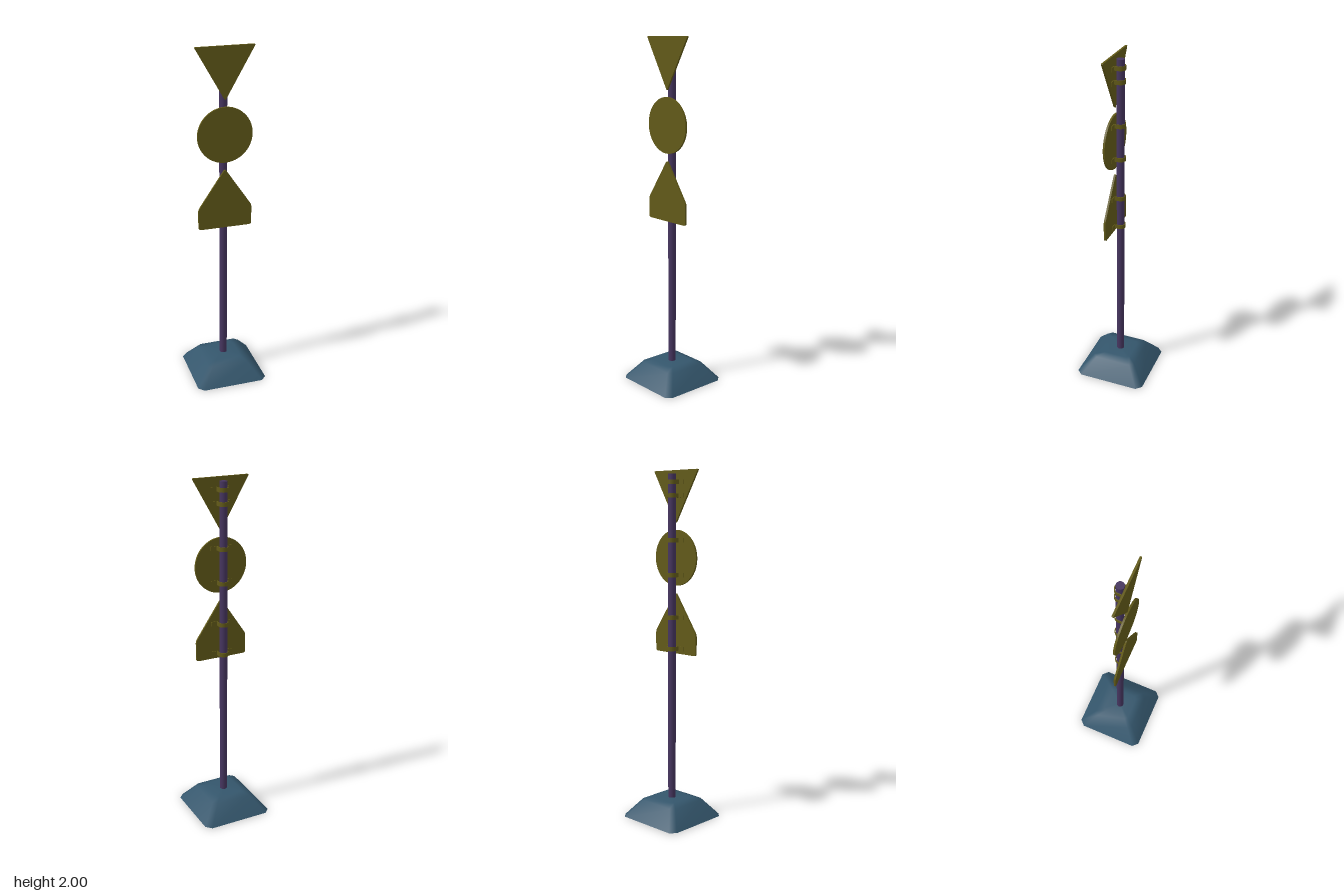
import * as THREE from 'three';

const mat = (color, extra = {}) => new THREE.MeshStandardMaterial({ color, ...extra });

function addMesh(parent, name, geometry, material) {
  const mesh = new THREE.Mesh(geometry, material);
  mesh.name = name;
  parent.add(mesh);
  return mesh;
}

// Corners of a square with cut corners, counter-clockwise seen from above
function cutSquare(half, cut) {
  const a = half, b = half - cut;
  return [[a, b], [b, a], [-b, a], [-a, b], [-a, -b], [-b, -a], [b, -a], [a, -b]];
}

// Smooth foot lofted through cut-square rings, closed on top
function footGeometry(rings) {
  const pos = [], idx = [], n = 8;
  for (const [y, half, cut] of rings) {
    for (const [x, v] of cutSquare(half, cut)) pos.push(x, y, -v);
  }
  for (let r = 0; r < rings.length - 1; r++) {
    for (let i = 0; i < n; i++) {
      const a = r * n + i, b = r * n + (i + 1) % n;
      idx.push(a, b, b + n, a, b + n, a + n);
    }
  }
  const last = (rings.length - 1) * n;
  pos.push(0, rings[rings.length - 1][0], 0);
  for (let i = 0; i < n; i++) idx.push(last + i, last + (i + 1) % n, last + n);
  const g = new THREE.BufferGeometry();
  g.setAttribute('position', new THREE.Float32BufferAttribute(pos, 3));
  g.setIndex(idx);
  g.computeVertexNormals();
  return g;
}

// Polygon outline with small rounded corners
function roundedPolygon(points, r) {
  const p = points.map(([x, y]) => new THREE.Vector2(x, y));
  const shape = new THREE.Shape();
  p.forEach((c, i) => {
    const toward = (q) => c.clone().add(q.clone().sub(c).setLength(r));
    const a = toward(p[(i + p.length - 1) % p.length]);
    const b = toward(p[(i + 1) % p.length]);
    if (i === 0) shape.moveTo(a.x, a.y);
    else shape.lineTo(a.x, a.y);
    shape.quadraticCurveTo(c.x, c.y, b.x, b.y);
  });
  shape.closePath();
  return shape;
}

// Strap bent round the pole, with a flat flange on either side
function clampGeometry(height) {
  const R = 0.029, t = 0.004, front = -0.028, w = 0.064;
  const s = new THREE.Shape();
  s.moveTo(-w, front);
  s.lineTo(-R + t, front);
  s.lineTo(-R + t, 0);
  s.absarc(0, 0, R - t, Math.PI, 0, true);
  s.lineTo(R - t, front);
  s.lineTo(w, front);
  s.lineTo(w, front + t);
  s.lineTo(R, front + t);
  s.lineTo(R, 0);
  s.absarc(0, 0, R, 0, Math.PI, false);
  s.lineTo(-R, front + t);
  s.lineTo(-w, front + t);
  s.closePath();
  const g = new THREE.ExtrudeGeometry(s, { depth: height, bevelEnabled: false, curveSegments: 12 });
  g.rotateX(-Math.PI / 2);
  g.translate(0, -height / 2, 0);
  return g;
}

export function createModel() {
  const model = new THREE.Group();
  model.name = 'signPost';
  const footMat = mat(0x34566c);
  const poleMat = mat(0x46355f);
  const signMat = mat(0x625a18);

  // Foot
  const foot = new THREE.Group();
  foot.name = 'foot';
  model.add(foot);
  const rings = [[0, 0.212, 0.032], [0.1, 0.132, 0.024], [0.115, 0.085, 0.016]];
  addMesh(foot, 'footBody', footGeometry(rings), footMat);
  const outline = new THREE.Shape(cutSquare(0.212, 0.032).map(([x, y]) => new THREE.Vector2(x, y)));
  addMesh(foot, 'footUnderside', new THREE.ShapeGeometry(outline), footMat).rotation.x = Math.PI / 2;

  // Pole
  const pole = addMesh(model, 'pole', new THREE.CylinderGeometry(0.022, 0.022, 1.88, 16), poleMat);
  pole.position.y = 1.04;

  // Sign plates, each with two clamps
  const disc = new THREE.Shape();
  disc.absarc(0, 1.515, 0.157, 0, Math.PI * 2, false);
  const signs = [
    ['triangleSign', roundedPolygon([[-0.168, 2], [0, 1.708], [0.168, 2]], 0.008), [1.935, 1.86]],
    ['roundSign', disc, [1.615, 1.42]],
    ['gabledSign', roundedPolygon(
      [[-0.156, 0.969], [0.156, 0.969], [0.156, 1.09], [0, 1.32], [-0.156, 1.09]], 0.015), [1.18, 1.0]],
  ];
  const clamp = clampGeometry(0.024);
  for (const [name, shape, heights] of signs) {
    const sign = new THREE.Group();
    sign.name = name;
    model.add(sign);
    const plate = new THREE.ExtrudeGeometry(shape, { depth: 0.011, bevelEnabled: false, curveSegments: 32 });
    addMesh(sign, 'plate', plate, signMat).position.z = 0.028;
    for (const y of heights) addMesh(sign, 'clamp', clamp, signMat).position.y = y;
  }
  return model;
}
